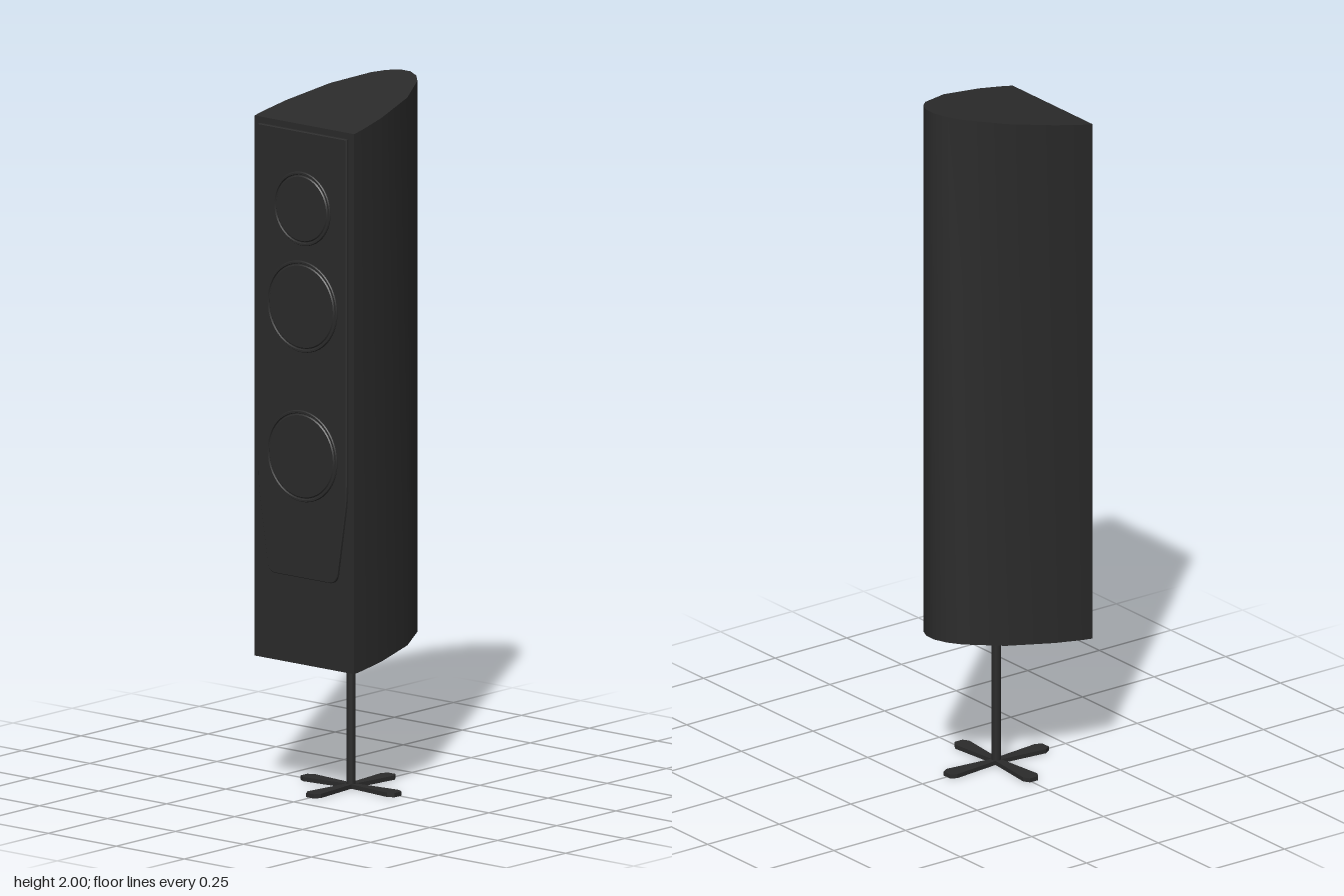
import * as THREE from 'three';
import { toCreasedNormals } from 'three/addons/utils/BufferGeometryUtils.js';

const material = new THREE.MeshStandardMaterial({ color: 0x2b2b2b });

function addMesh(parent, geometry, name) {
  const mesh = new THREE.Mesh(geometry, material);
  mesh.name = name;
  parent.add(mesh);
  return mesh;
}

// Closed shape from the right half of a symmetric outline
function mirroredShape(half) {
  const other = half.map(([x, y]) => [-x, y]).reverse();
  return new THREE.Shape([...half, ...other].map(([x, y]) => new THREE.Vector2(x, y)));
}

// Cabinet: bowed plan (x, -z) with sloping top and bottom
function cabinetGeometry() {
  const shape = mirroredShape([
    [0.183, -0.205], [0.183, -0.17], [0.175, -0.08], [0.142, 0.067],
    [0.085, 0.175], [0.055, 0.205], [0.018, 0.223],
  ]);
  const geo = new THREE.ExtrudeGeometry(shape, { depth: 1, bevelEnabled: false });
  geo.rotateX(-Math.PI / 2);
  const p = geo.attributes.position;
  for (let i = 0; i < p.count; i++) {
    const t = (0.205 - p.getZ(i)) / 0.428;
    const y = p.getY(i) > 0.5 ? 1.917 + 0.083 * t : 0.382 + 0.048 * t;
    p.setY(i, y);
  }
  return toCreasedNormals(geo, 0.65);
}

// Front panel: straight sides, tapered below, rounded lower corners
function panelGeometry() {
  const s = new THREE.Shape();
  s.moveTo(-0.1, 0.632);
  s.lineTo(0.1, 0.632);
  s.quadraticCurveTo(0.122, 0.632, 0.127, 0.66);
  s.lineTo(0.156, 0.85);
  s.quadraticCurveTo(0.16, 0.88, 0.16, 0.92);
  s.lineTo(0.16, 1.897);
  s.lineTo(-0.16, 1.897);
  s.lineTo(-0.16, 0.92);
  s.quadraticCurveTo(-0.16, 0.88, -0.156, 0.85);
  s.lineTo(-0.127, 0.66);
  s.quadraticCurveTo(-0.122, 0.632, -0.1, 0.632);
  const geo = new THREE.ExtrudeGeometry(s, {
    depth: 0.008, bevelThickness: 0.002, bevelSize: 0.002, bevelOffset: 0, bevelSegments: 1,
  });
  return toCreasedNormals(geo.translate(0, 0, 0.204), 0.5);
}

// Driver: raised rim, narrow groove and flat grille
function driverGeometry(r) {
  const profile = [
    [0, 0.005], [r - 0.014, 0.005], [r - 0.011, 0.002], [r - 0.009, 0.002],
    [r - 0.007, 0.006], [r - 0.002, 0.006], [r, 0.003], [r, -0.002],
  ].reverse().map(([x, y]) => new THREE.Vector2(x, y));
  const geo = new THREE.LatheGeometry(profile, 48);
  return toCreasedNormals(geo.rotateX(Math.PI / 2), 0.5);
}

// Foot: flat paddle widening towards a chamfered tip
function footGeometry() {
  const shape = mirroredShape([[0.009, 0], [0.025, 0.155], [0.014, 0.173]]);
  const geo = new THREE.ExtrudeGeometry(shape, { depth: 0.012, bevelEnabled: false });
  return geo.rotateX(-Math.PI / 2);
}

export function createModel() {
  const model = new THREE.Group();
  model.name = 'floorSpeaker';

  addMesh(model, cabinetGeometry(), 'cabinet');
  addMesh(model, panelGeometry(), 'frontPanel');

  const drivers = [['tweeter', 1.68, 0.105], ['midrange', 1.402, 0.13], ['woofer', 0.977, 0.13]];
  for (const [name, y, r] of drivers) {
    addMesh(model, driverGeometry(r), name).position.set(0, y, 0.213);
  }

  // Stand: pole and four feet in a cross
  const stand = new THREE.Group();
  stand.name = 'stand';
  stand.position.z = 0.008;
  model.add(stand);
  addMesh(stand, new THREE.CylinderGeometry(0.013, 0.013, 0.42, 16), 'pole').position.y = 0.21;
  for (let i = 0; i < 4; i++) {
    addMesh(stand, footGeometry(), 'foot' + (i + 1)).rotation.y = i * Math.PI / 2;
  }
  return model;
}
